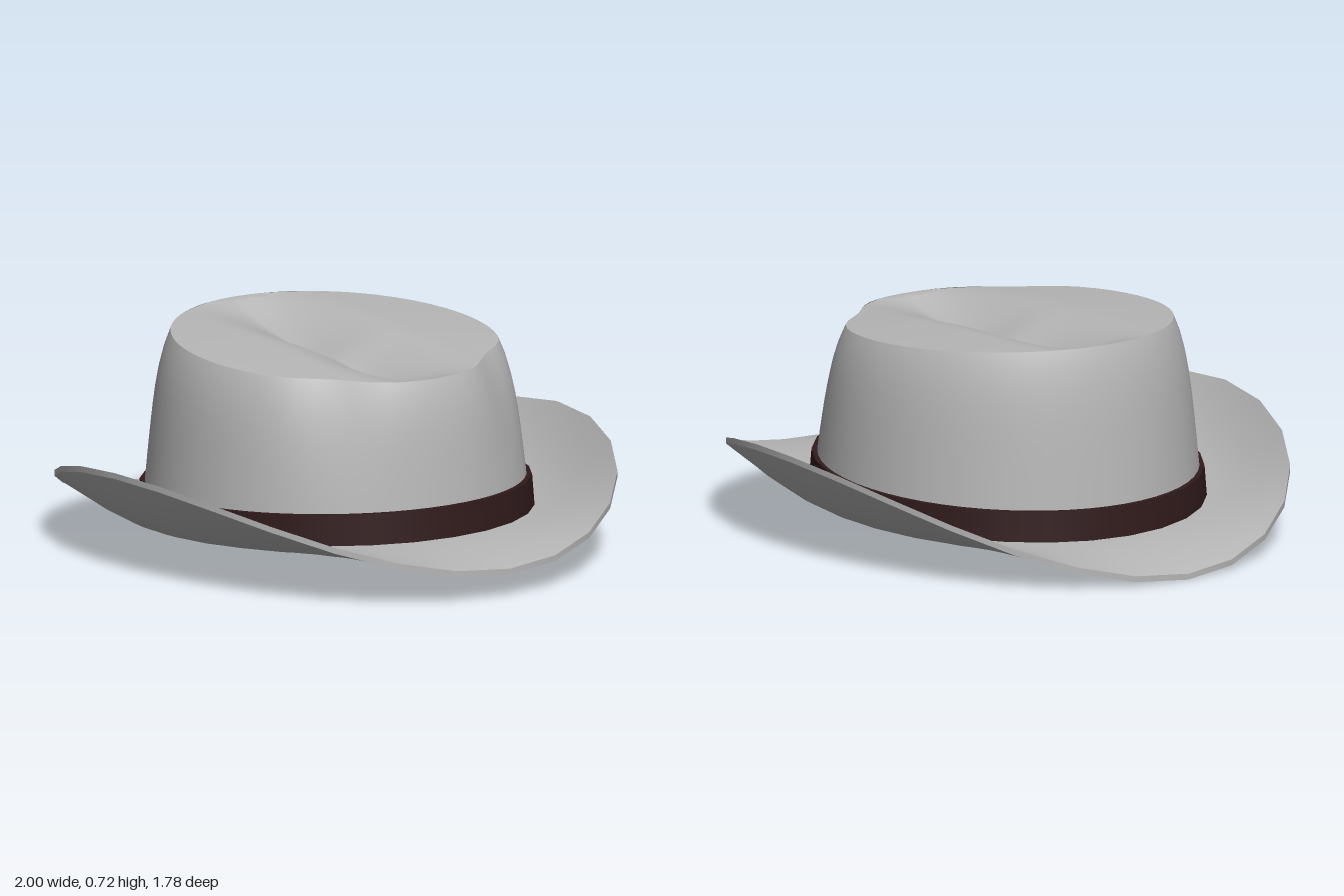
import * as THREE from 'three';
import { ParametricGeometry } from 'three/addons/geometries/ParametricGeometry.js';

const SEGMENTS = 28;

// Height of the brim's underside where it meets the crown (slightly tilted)
const baseY = (x) => 0.09 + 0.045 * x;
// Height of the crown's upper rim (tilted the other way)
const rimY = (x) => 0.683 - 0.048 * x;

// Brim: t runs from the head opening to the outer edge, lift is the thickness
function brimPoint(a, t, lift, target) {
  const c = Math.cos(a), s = Math.sin(a);
  const x = (0.64 + 0.36 * t) * c, z = -(0.61 + 0.28 * t) * s;
  const inner = baseY(0.64 * c);
  const outer = 0.325 * s * s + 0.035 * c * c + 0.04 * c;
  target.set(x, inner + (outer - inner) * t ** 1.9 + lift, z);
}

// Crown wall: v runs from the brim to the rim, with two pinches near +x
function wallPoint(a, v, target) {
  const c = Math.cos(a), s = Math.sin(a);
  const angle = Math.acos(Math.max(-1, Math.min(1, c)));
  const pinch = 1 - 0.075 * v * v * Math.exp(-(((angle - 0.68) / 0.26) ** 2));
  const x = (0.66 - 0.055 * v - 0.032 * v ** 6) * c * pinch;
  const z = -(0.63 - 0.06 * v - 0.038 * v ** 6) * s * pinch;
  const low = baseY(x) + 0.02;
  target.set(x, low + (rimY(x) - low) * v, z);
}

// Crown top: scaled rings of the rim, with a lengthwise crease along z = 0
function topPoint(a, v, target) {
  const r = 1 - 0.996 * v;
  wallPoint(a, 1, target);
  const x = target.x * r, z = target.z * r;
  const across = Math.max(0, 1 - (Math.sqrt(z * z + 0.0003) - 0.017) / 0.23);
  const along = Math.max(0, 1 - (Math.abs(x) / 0.56) ** 3);
  const depth = 0.105 - 0.015 * Math.exp(-((x / 0.12) ** 2));
  const bulge = 0.015 * (1 - r * r);
  target.set(x, rimY(x) + bulge - depth * along * across ** 1.5, z);
}

// Hat band: h runs up the band, out is the thickness beyond the crown
function bandPoint(a, h, out, target) {
  const c = Math.cos(a), s = Math.sin(a);
  const x = (0.655 - 0.008 * h + out) * c;
  target.set(x, baseY(x) + 0.018 + 0.105 * h, -(0.622 - 0.008 * h + out) * s);
}

export function createModel() {
  const felt = new THREE.MeshStandardMaterial({ color: 0xb6b6b6, side: THREE.DoubleSide });
  felt.name = 'grey felt';
  const ribbon = new THREE.MeshStandardMaterial({ color: 0x311b1c, side: THREE.DoubleSide });
  ribbon.name = 'dark brown ribbon';

  const hat = new THREE.Group();
  hat.name = 'hat';

  // Closed strip around the hat: fn(angle, v, target)
  function strip(parent, name, material, fn, rows, segments = SEGMENTS) {
    const geometry = new ParametricGeometry(
      (u, v, target) => fn(u * Math.PI * 2, v, target), segments, rows);
    const mesh = new THREE.Mesh(geometry, material);
    mesh.name = name;
    parent.add(mesh);
  }
  function part(name) {
    const group = new THREE.Group();
    group.name = name;
    hat.add(group);
    return group;
  }

  // Curled brim with a thin edge
  const thick = 0.02;
  const brim = part('brim');
  strip(brim, 'brimUnderside', felt, (a, v, p) => brimPoint(a, v, 0, p), 8);
  strip(brim, 'brimEdge', felt, (a, v, p) => brimPoint(a, 1, thick * v, p), 1);
  strip(brim, 'brimTop', felt, (a, v, p) => brimPoint(a, 1 - v, thick, p), 8);
  strip(brim, 'headOpening', felt, (a, v, p) => brimPoint(a, 0, thick * (1 - v), p), 1);

  // Hollow crown with creased top
  const crown = part('crown');
  strip(crown, 'crownWall', felt, wallPoint, 10, SEGMENTS * 2);
  strip(crown, 'crownTop', felt, topPoint, 18, SEGMENTS * 2);

  // Ribbon around the foot of the crown
  const band = part('hatBand');
  strip(band, 'bandFace', ribbon, (a, v, p) => bandPoint(a, v, 0.022, p), 1);
  strip(band, 'bandTopEdge', ribbon, (a, v, p) => bandPoint(a, 1, 0.022 * (1 - v), p), 1);

  return hat;
}
